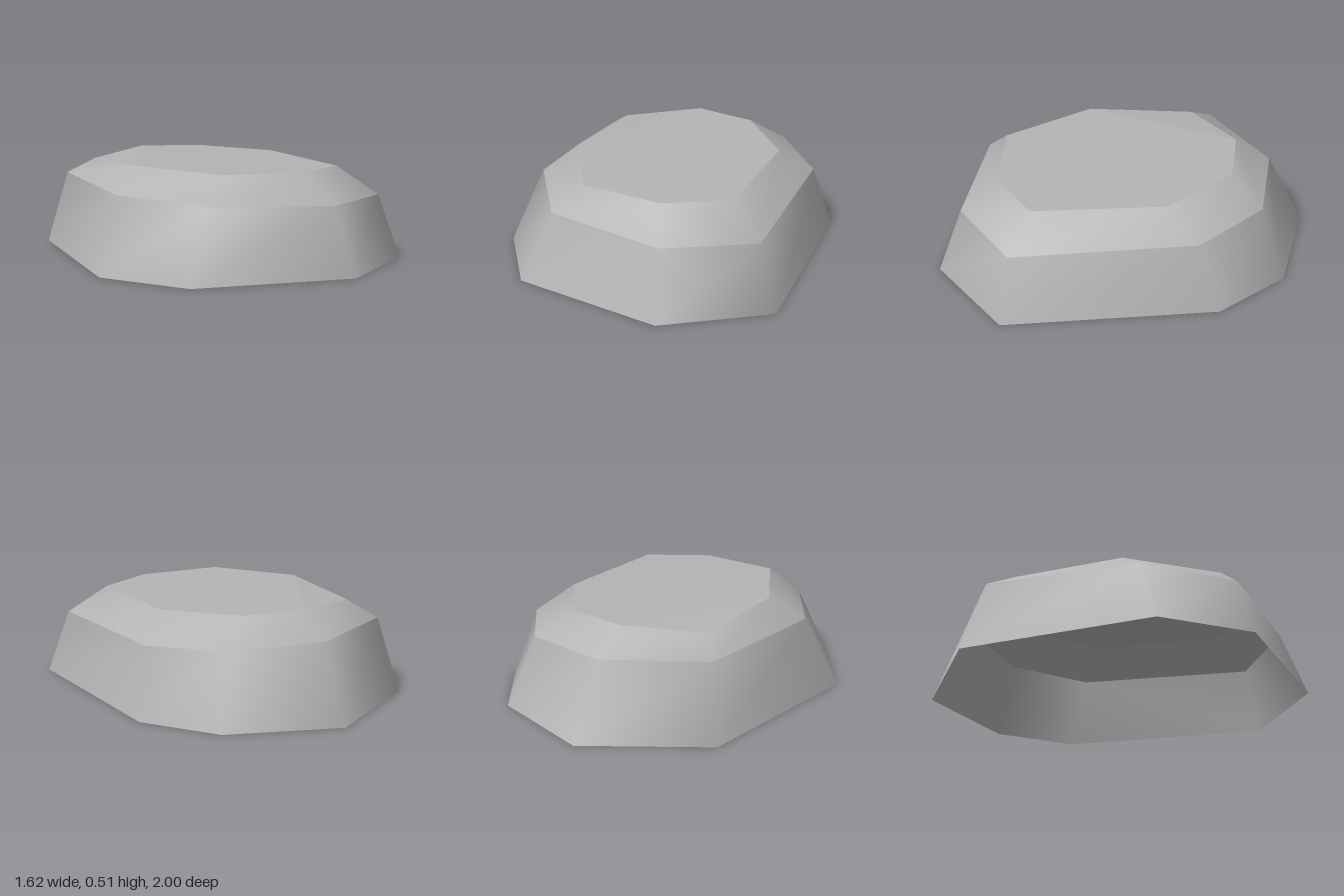
import * as THREE from 'three';

// Outline rings as [x, z] corners, clockwise seen from above
const base = [[-0.15, -1], [0.44, -0.83], [0.72, -0.47], [0.81, 0.65], [0.32, 1], [-0.51, 0.86], [-0.81, 0.44], [-0.73, -0.6]];
const shoulder = [[-0.15, -0.8], [0.34, -0.71], [0.64, -0.36], [0.7, 0.6], [0.28, 0.87], [-0.37, 0.76], [-0.67, 0.32], [-0.64, -0.51]];
const rim = [[-0.15, -0.61], [0.19, -0.56], [0.49, -0.21], [0.51, 0.49], [0.2, 0.68], [-0.24, 0.65], [-0.52, 0.19], [-0.52, -0.39]];

// Lift a ring onto a slightly tilted plane
const lift = (ring, y, sx, sz) => ring.map(([x, z]) => new THREE.Vector3(x, y + sx * x + sz * z, z));

function surface(points, index) {
  const geometry = new THREE.BufferGeometry().setFromPoints(points);
  geometry.setIndex(index);
  return geometry;
}

// Smooth-shaded band between two rings, with its own vertices so its edges stay sharp
function band(lower, upper) {
  const n = lower.length, index = [];
  for (let i = 0; i < n; i++) {
    const j = (i + 1) % n;
    index.push(j, i, n + i, j, n + i, n + j);
  }
  const geometry = surface([...lower, ...upper], index);
  geometry.computeVertexNormals();
  return geometry;
}

// Faceted cap fanned from the back corner
function cap(ring) {
  const index = [];
  for (let i = 1; i < ring.length - 1; i++) index.push(0, i + 1, i);
  const geometry = surface(ring, index).toNonIndexed();
  geometry.computeVertexNormals();
  return geometry;
}

export function createModel() {
  const group = new THREE.Group();
  group.name = 'rock';
  const stone = new THREE.MeshStandardMaterial({ color: 0xb4b4b4, side: THREE.DoubleSide });
  stone.name = 'grey stone';

  const bottom = lift(base, 0, 0, 0);
  const middle = lift(shoulder, 0.37, -0.03, -0.018);
  const top = lift(rim, 0.503, -0.02, -0.01);
  top[7].y = 0.485; // chipped back corner

  const add = (name, geometry) => {
    const mesh = new THREE.Mesh(geometry, stone);
    mesh.name = name;
    group.add(mesh);
  };
  // The underside stays open
  add('steepSides', band(bottom, middle));
  add('slopedShoulder', band(middle, top));
  add('flatTop', cap(top));
  return group;
}
